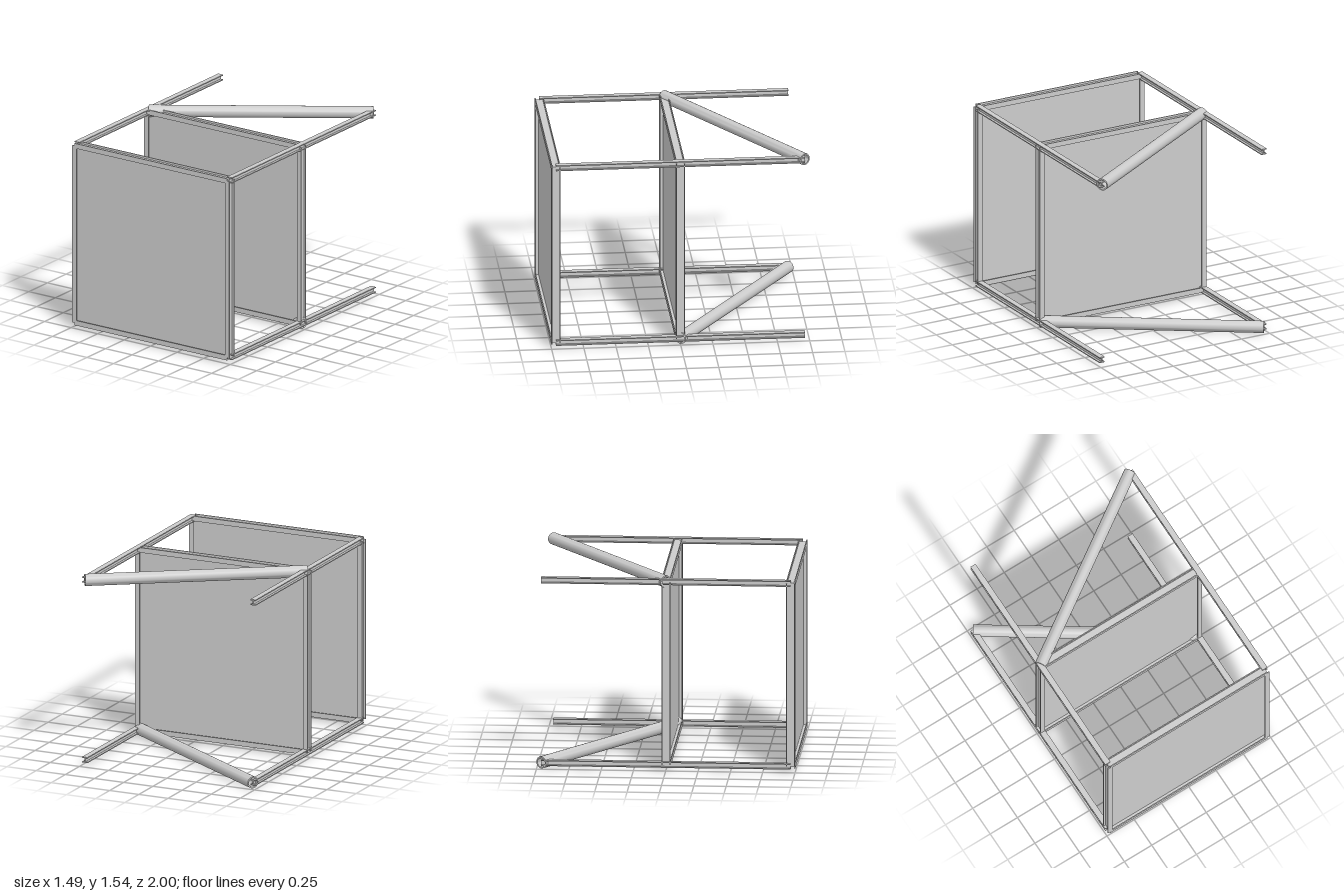
import * as THREE from 'three';
import { toCreasedNormals } from 'three/addons/utils/BufferGeometryUtils.js';

const HALF = 0.72;            // half spacing between the side beams
const LOW = 0.047, HIGH = 1.493;
const FRONT = 0.965, BACK = -0.965;
const X = new THREE.Vector3(1, 0, 0);
const Y = new THREE.Vector3(0, 1, 0);
const Z = new THREE.Vector3(0, 0, 1);

export function createModel() {
  const model = new THREE.Group();
  const material = new THREE.MeshStandardMaterial({ color: 0xcccccc });

  function add(name, geometry) {
    const mesh = new THREE.Mesh(geometry, material);
    mesh.name = name;
    model.add(mesh);
    return mesh;
  }

  // I-section outline: flanges at top and bottom, web between
  function iSection(width, height, t = 0.008) {
    const w = width / 2, h = height / 2, s = t / 2;
    const right = [[w, -h], [w, -h + t], [s, -h + t], [s, h - t], [w, h - t], [w, h]];
    const left = right.map(([x, y]) => [-x, -y]);
    return new THREE.Shape([...right, ...left].map(([x, y]) => new THREE.Vector2(x, y)));
  }

  // Beam centred at a point, running along one axis with flanges facing another
  function beam(name, width, height, length, along, flange, position) {
    const geometry = new THREE.ExtrudeGeometry(iSection(width, height), { depth: length, bevelEnabled: false });
    geometry.translate(0, 0, -length / 2);
    const side = new THREE.Vector3().crossVectors(flange, along);
    geometry.applyMatrix4(new THREE.Matrix4().makeBasis(side, flange, along));
    add(name, geometry).position.set(...position);
  }

  // Hollow round brace between two points
  function brace(name, start, end, outer = 0.047, inner = 0.036) {
    const a = new THREE.Vector3(...start), b = new THREE.Vector3(...end);
    const h = a.distanceTo(b) / 2;
    const profile = [[outer, -h], [outer, h], [inner, h], [inner, -h], [outer, -h]]
      .map(([r, y]) => new THREE.Vector2(r, y));
    const mesh = add(name, toCreasedNormals(new THREE.LatheGeometry(profile, 32), 0.7));
    mesh.position.copy(a).add(b).multiplyScalar(0.5);
    mesh.quaternion.setFromUnitVectors(Y, b.clone().sub(a).normalize());
  }

  // Four long side beams
  for (const x of [-HALF, HALF]) {
    for (const y of [LOW, HIGH]) {
      beam('sideBeam', 0.046, 0.046, FRONT - BACK, Z, Y, [x, y, 0]);
    }
  }

  // Front and middle frames, each filled with a thin panel
  const midY = (LOW + HIGH) / 2;
  for (const [place, z] of [['front', FRONT], ['middle', 0]]) {
    for (const x of [-HALF, HALF]) {
      beam(place + 'Column', 0.04, 0.07, HIGH - LOW, Y, Z, [x, midY, z]);
    }
    for (const y of [LOW, HIGH]) {
      beam(place + 'CrossBeam', 0.04, 0.07, 2 * HALF, X, Z, [0, y, z]);
    }
    add(place + 'Panel', new THREE.BoxGeometry(2 * HALF, HIGH - LOW, 0.01)).position.set(0, midY, z);
  }

  // Crossing diagonal braces behind the middle frame
  brace('topBrace', [-HALF, HIGH, 0], [HALF, HIGH, BACK]);
  brace('bottomBrace', [HALF, LOW, 0], [-HALF, LOW, BACK]);

  return model;
}
